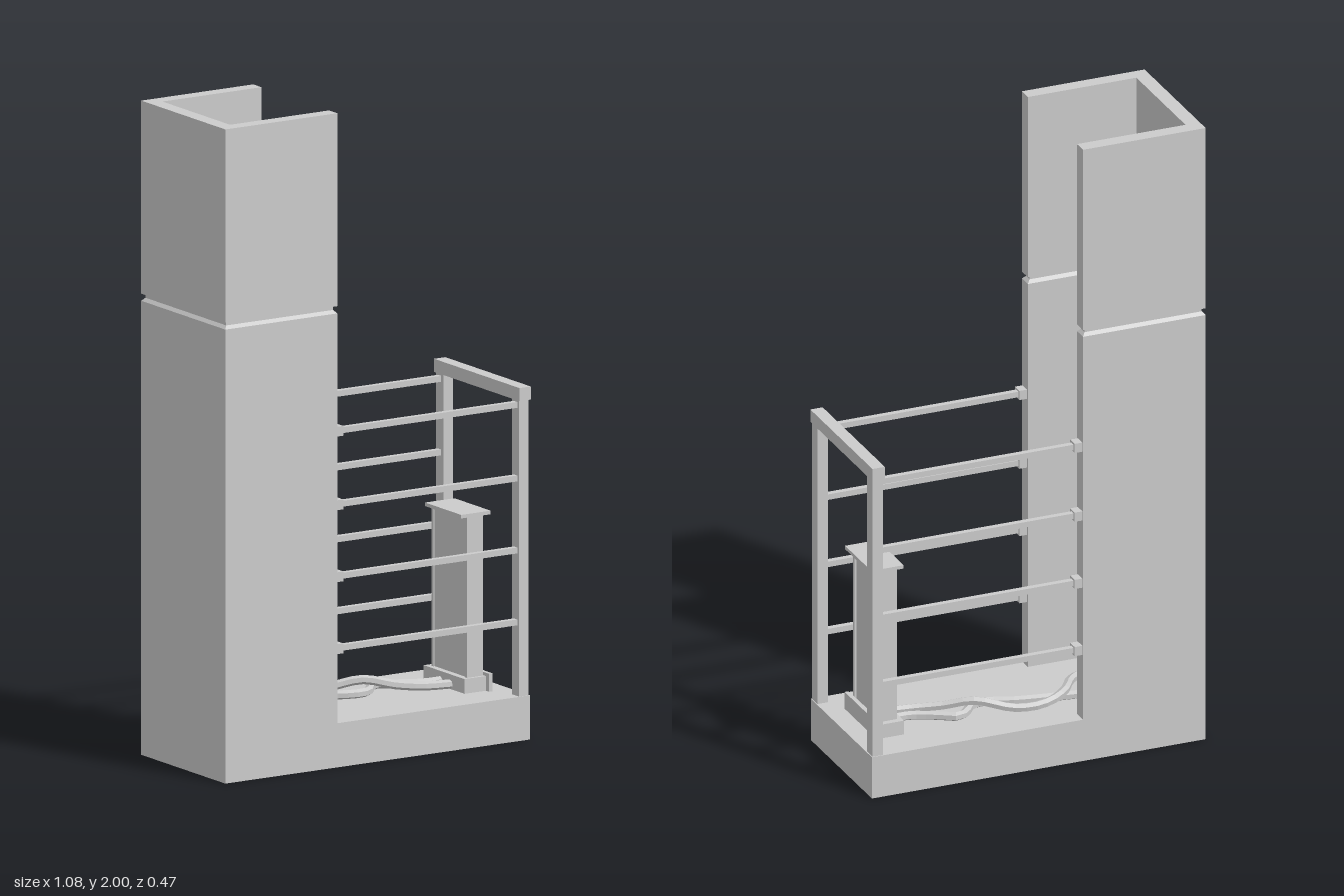
import * as THREE from 'three';

const material = new THREE.MeshStandardMaterial({ color: 0xcccccc, flatShading: true });

export function createModel() {
  const model = new THREE.Group();

  const add = (name, geometry) => {
    const mesh = new THREE.Mesh(geometry, material);
    mesh.name = name;
    model.add(mesh);
    return mesh;
  };
  // box given by its min and max on each axis
  const box = (name, x0, x1, y0, y1, z0, z1) =>
    add(name, new THREE.BoxGeometry(x1 - x0, y1 - y0, z1 - z0)
      .translate((x0 + x1) / 2, (y0 + y1) / 2, (z0 + z1) / 2));

  // hollow base: rim, floor slab and ribs underneath
  const rectangle = (C, x0, x1, z) => new C([
    new THREE.Vector2(x0, -z), new THREE.Vector2(x1, -z),
    new THREE.Vector2(x1, z), new THREE.Vector2(x0, z)]);
  const rim = rectangle(THREE.Shape, -0.543, 0.54, 0.23);
  rim.holes.push(rectangle(THREE.Path, -0.497, 0.495, 0.185));
  add('baseRim', new THREE.ExtrudeGeometry(rim, { depth: 0.135, bevelEnabled: false }).rotateX(-Math.PI / 2));
  box('baseFloor', -0.497, 0.495, 0.095, 0.135, -0.185, 0.185);
  for (const z of [-0.08, 0.08]) box('floorRib', -0.497, 0.495, 0.045, 0.095, z - 0.03, z + 0.03);

  // U-shaped column with a groove running all round
  add('column', columnGeometry());

  // end posts, top bar and side rails with their sockets
  for (const s of [-1, 1]) {
    const side = (name, x0, x1, y0, y1, z, w) =>
      box(name, x0, x1, y0, y1, s * z - w / 2, s * z + w / 2);
    side('post', 0.503, 0.537, 0.135, 1.04, 0.207, 0.04);
    for (const y of [0.36, 0.58, 0.8, 1.025]) {
      side('rail', -0.14, 0.51, y - 0.009, y + 0.009, 0.208, 0.018);
      side('railSocket', -0.146, -0.12, y - 0.015, y + 0.015, 0.208, 0.034);
    }
  }
  box('topBar', 0.5, 0.54, 1.04, 1.08, -0.234, 0.234);

  // control pedestal: foot, body between two thin side plates, cap
  box('pedestalFoot', 0.387, 0.465, 0.135, 0.18, -0.116, 0.107);
  box('pedestalFootPlate', 0.463, 0.476, 0.135, 0.19, -0.128, 0.124);
  box('pedestalBody', 0.407, 0.453, 0.17, 0.672, -0.088, 0.088);
  for (const z of [-0.092, 0.092]) box('pedestalSide', 0.402, 0.46, 0.17, 0.672, z - 0.005, z + 0.005);
  box('pedestalCap', 0.381, 0.486, 0.67, 0.681, -0.1, 0.098);

  // loose cables crossing on the floor
  cable([[-0.5, 0.15, -0.103], [-0.4, 0.15, -0.105], [-0.3, 0.15, -0.098], [-0.15, 0.148, -0.075],
    [0, 0.148, -0.048], [0.08, 0.148, -0.021], [0.13, 0.148, -0.027], [0.16, 0.148, -0.062],
    [0.2, 0.15, -0.091], [0.25, 0.15, -0.063], [0.33, 0.15, -0.027], [0.4, 0.15, -0.027]]);
  cable([[-0.5, 0.15, 0.063], [-0.4, 0.15, 0.067], [-0.3, 0.152, 0.052], [-0.23, 0.158, 0.022],
    [-0.19, 0.165, -0.02], [-0.15, 0.172, -0.083], [-0.1, 0.165, -0.117], [-0.04, 0.156, -0.124],
    [0.03, 0.156, -0.11], [0.135, 0.178, -0.062], [0.22, 0.16, -0.02], [0.3, 0.152, 0.013],
    [0.4, 0.15, 0.03]]);

  function cable(points) {
    const curve = new THREE.CatmullRomCurve3(points.map(p => new THREE.Vector3(...p)));
    add('cable', new THREE.TubeGeometry(curve, 32, 0.014, 6));
  }
  return model;
}

// stacks U-shaped cross-sections, each inset by d at height y
function columnGeometry() {
  const section = d => [
    [-0.543 + d, -0.23 + d], [-0.145 - d, -0.23 + d], [-0.145 - d, -0.185 - d], [-0.497 - d, -0.185 - d],
    [-0.497 - d, 0.185 + d], [-0.145 - d, 0.185 + d], [-0.145 - d, 0.23 - d], [-0.543 + d, 0.23 - d]];
  const levels = [[0.135, 0], [1.388, 0], [1.398, 0.009], [1.41, 0.009], [1.41, 0], [2, 0]];
  const rings = levels.map(([y, d]) => section(d).map(([x, z]) => [x, y, z]));
  const positions = [];
  for (let i = 0; i < rings.length - 1; i++) {
    for (let j = 0; j < 8; j++) {
      const k = (j + 1) % 8;
      const a = rings[i][j], b = rings[i][k], c = rings[i + 1][k], d = rings[i + 1][j];
      positions.push(...a, ...d, ...c, ...a, ...c, ...b);
    }
  }
  const top = rings[rings.length - 1];
  const outline = top.map(p => new THREE.Vector2(p[0], p[2]));
  for (const [a, b, c] of THREE.ShapeUtils.triangulateShape(outline, [])) {
    positions.push(...top[a], ...top[c], ...top[b]);
  }
  const geometry = new THREE.BufferGeometry();
  geometry.setAttribute('position', new THREE.Float32BufferAttribute(positions, 3));
  geometry.computeVertexNormals();
  return geometry;
}
